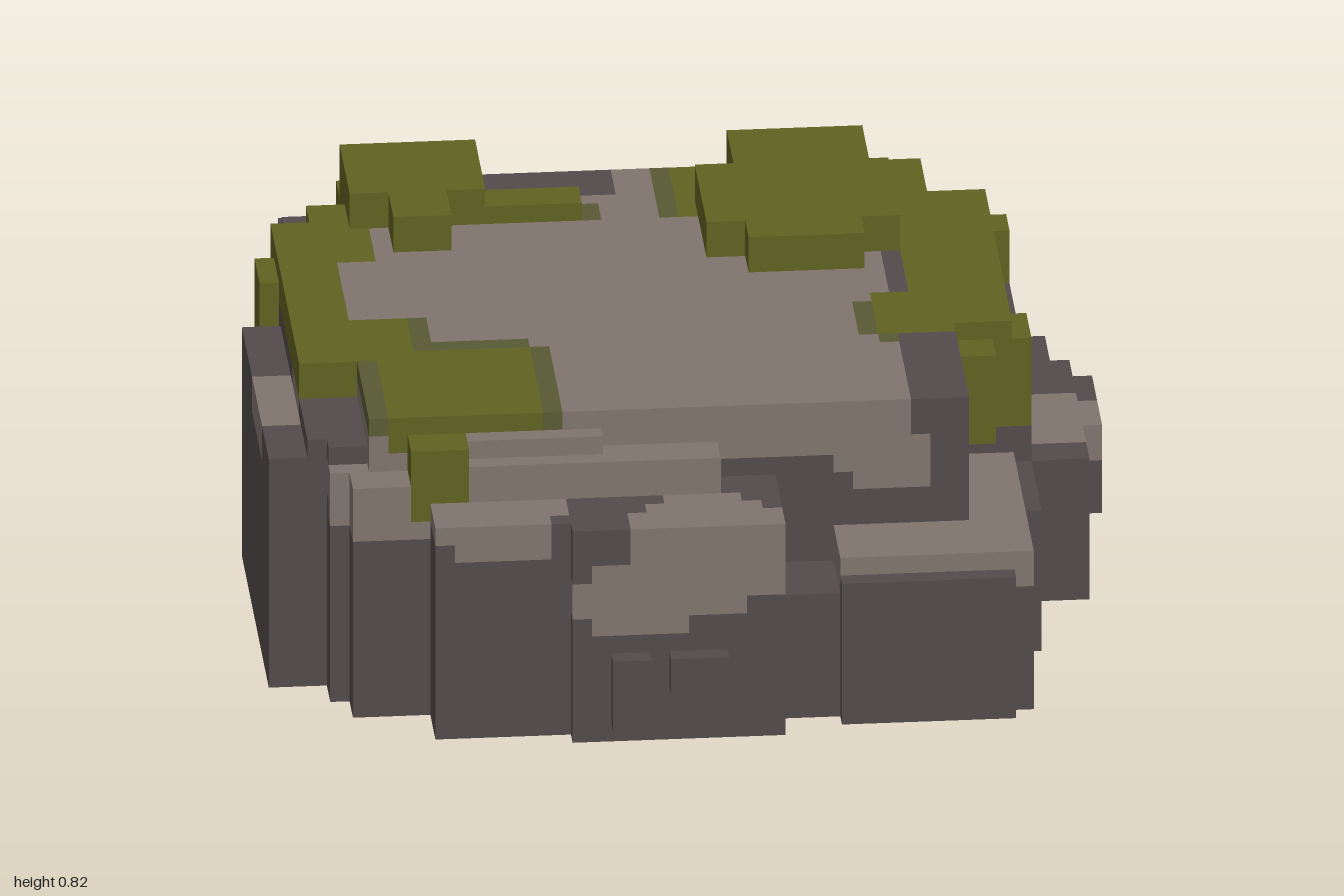
import * as THREE from 'three';

// Mossy boulder made of cubes: filled from boxes, painted, hollowed from below, then skinned.
const SIZE = [44, 18, 38];
const U = 2 / SIZE[0];
const ROCK = 1, STONE = 2, MOSS = 3, FRINGE = 4;

export function createModel() {
  const [NX, NY, NZ] = SIZE;
  const grid = new Uint8Array(NX * NY * NZ);
  const id = (x, y, z) => x + NX * (y + NY * z);
  const get = (x, y, z, from = grid) =>
    (x >= 0 && y >= 0 && z >= 0 && x < NX && y < NY && z < NZ ? from[id(x, y, z)] : 0);
  const eachCube = (visit) => {
    for (let z = 0; z < NZ; z++)
      for (let y = 0; y < NY; y++)
        for (let x = 0; x < NX; x++) if (grid[id(x, y, z)]) visit(x, y, z);
  };
  const cell = (v, half) => Math.round(v / U + half);

  // box: x from-to, z from-to, top, bottom
  function fill(c, x0, x1, z0, z1, top, bottom) {
    for (let z = cell(z0, NZ / 2); z < cell(z1, NZ / 2); z++)
      for (let y = cell(bottom, 0); y < cell(top, 0); y++)
        for (let x = cell(x0, NX / 2); x < cell(x1, NX / 2); x++) grid[id(x, y, z)] = c;
  }

  // rock mass and its ledges, standing on the ground unless a bottom is given
  [
    [-0.86, 0.45, -0.86, 0.55, 0.59],
    [-0.64, 0.3, -0.82, -0.77, 0.64],
    [-0.86, 0.64, -0.77, 0.5, 0.64],
    [-0.73, 0.64, -0.77, 0.55, 0.73],
    [-0.91, -0.82, -0.55, 0.45, 0.64],
    [-1, -0.82, -0.27, 0.45, 0.59],
    [-0.82, -0.32, 0.45, 0.64, 0.59],
    [-0.64, -0.32, 0.55, 0.77, 0.55],
    [-0.32, 0.18, 0.55, 0.82, 0.55],
    [0.18, 0.32, 0.55, 0.73, 0.32],
    [0.32, 0.73, 0.55, 0.77, 0.36],
    [0.63, 0.82, 0.13, 0.41, 0.36],
    [0.63, 0.77, -0.6, 0.13, 0.64],
    [0.77, 0.82, -0.55, 0.13, 0.55],
    [0.82, 0.91, -0.55, 0.13, 0.36],
    [0.91, 0.95, -0.41, 0.13, 0.36],
    [0.95, 1, -0.32, -0.05, 0.36, 0.14],
    [-0.23, -0.14, 0.82, 0.86, 0.23, 0.05],
    [-0.09, 0.04, 0.82, 0.86, 0.23, 0.14],
  ].forEach(([x0, x1, z0, z1, top, bottom = 0]) => fill(ROCK, x0, x1, z0, z1, top, bottom));

  // pale stone: plateau, front steps, right ledge
  [
    [-0.77, 0.5, -0.64, 0.55, 0.73, 0.59],
    [-0.09, 0.18, -0.77, -0.6, 0.73, 0.64],
    [-0.55, 0.04, 0.55, 0.64, 0.64, 0.55],
    [-0.55, -0.23, 0.55, 0.59, 0.68, 0.64],
    [0.32, 0.77, 0.55, 0.73, 0.41, 0.32],
    [0.64, 0.77, 0.18, 0.55, 0.41, 0.36],
  ].forEach((b) => fill(STONE, ...b));
  fill(ROCK, 0.64, 0.77, 0.18, 0.73, 0.32, 0);

  // weathered patches: centre and radius of a flattened ball
  [
    [0, 0.46, 0.8, 0.2],
    [-0.16, 0.37, 0.82, 0.15],
    [0.45, 0.58, 0.54, 0.12],
    [-0.73, 0.54, 0.58, 0.16],
    [-0.48, 0.54, 0.7, 0.15],
    [-0.96, 0.57, 0.14, 0.14],
    [0.88, 0.36, -0.08, 0.14],
    [0.64, 0.6, -0.66, 0.1],
  ].forEach(([px, py, pz, r]) => eachCube((x, y, z) => {
    const dx = (x + 0.5 - NX / 2) * U - px, dy = (y + 0.5) * U - py;
    const dz = (z + 0.5 - NZ / 2) * U - pz;
    if (Math.hypot(dx, dy * 1.5, dz) < r) grid[id(x, y, z)] = STONE;
  }));

  // moss cushions: x from-to, z from-to, top
  [
    [-0.91, -0.77, -0.55, 0.23, 0.73],
    [-0.82, -0.7, -0.64, -0.3, 0.73],
    [-0.77, -0.64, 0, 0.23, 0.73],
    [-0.73, -0.37, 0.2, 0.55, 0.73],
    [-0.73, -0.41, -0.77, -0.5, 0.82],
    [-0.64, -0.5, -0.5, -0.37, 0.82],
    [-0.41, -0.18, -0.6, -0.5, 0.77],
    [0.09, 0.54, -0.59, -0.27, 0.82],
    [0.18, 0.5, -0.77, -0.59, 0.82],
    [0.18, 0.45, -0.27, -0.18, 0.82],
    [0.05, 0.63, -0.77, -0.5, 0.73],
    [0.54, 0.77, -0.6, 0.13, 0.73],
    [0.45, 0.63, -0.05, 0.18, 0.73],
  ].forEach((b) => fill(MOSS, ...b, 0.64));

  // moss drips hanging down the sides: x, z, width, bottom
  [
    [-0.61, 0.59, 0.13, 0.5],
    [-0.57, 0.61, 0.09, 0.41],
    [-0.89, -0.4, 0.13, 0.46],
    [-0.84, -0.6, 0.09, 0.55],
    [-0.66, -0.8, 0.13, 0.55],
    [0.68, 0.16, 0.09, 0.46],
    [0.77, 0.07, 0.13, 0.46],
    [0.77, -0.5, 0.09, 0.55],
  ].forEach(([x, z, w, low]) => fill(MOSS, x - w / 2, x + w / 2, z - w / 2, z + w / 2, 0.68, low));

  // faded fringe where plateau stone meets moss, except along the open middle
  const level = cell(0.73, 0) - 1;
  eachCube((x, y, z) => {
    const middle = z > NZ * 0.2 && z < NZ * 0.48;
    if (y !== level || middle || get(x, y, z) !== STONE) return;
    const near = [[1, 0], [-1, 0], [0, 1], [0, -1]];
    if (near.some(([a, b]) => get(x + a, y, z + b) === MOSS)) grid[id(x, y, z)] = FRINGE;
  });

  // hollow the inside, leaving a wall two cubes thick and an open base
  const solid = grid.slice();
  const isDeep = (x, y, z) => {
    for (let a = -2; a <= 2; a++)
      for (let b = -2; b <= 2; b++)
        for (let c = 0; c <= 2; c++) if (!get(x + a, y + c, z + b, solid)) return false;
    return true;
  };
  eachCube((x, y, z) => { if (isDeep(x, y, z)) grid[id(x, y, z)] = 0; });

  // skin: one quad for every cube face that touches air
  function skin(colour) {
    const pos = [], nor = [], index = [];
    eachCube((...p) => {
      if (get(...p) !== colour) return;
      for (let axis = 0; axis < 3; axis++) for (const side of [1, -1]) {
        const n = [0, 0, 0];
        n[axis] = side;
        if (get(p[0] + n[0], p[1] + n[1], p[2] + n[2])) continue;
        const s = pos.length / 3;
        for (const [b, c] of [[0, 0], [1, 0], [1, 1], [0, 1]]) {
          const v = p.slice();
          v[axis] += side > 0 ? 1 : 0;
          v[(axis + 1) % 3] += side > 0 ? b : c;
          v[(axis + 2) % 3] += side > 0 ? c : b;
          pos.push((v[0] - NX / 2) * U, v[1] * U, (v[2] - NZ / 2) * U);
          nor.push(...n);
        }
        index.push(s, s + 1, s + 2, s, s + 2, s + 3);
      }
    });
    const g = new THREE.BufferGeometry();
    g.setAttribute('position', new THREE.Float32BufferAttribute(pos, 3));
    g.setAttribute('normal', new THREE.Float32BufferAttribute(nor, 3));
    g.setIndex(index);
    return g;
  }

  const group = new THREE.Group();
  group.name = 'mossyBoulder';
  [
    [ROCK, 'rockBody', 'darkRock', 0x524a4b],
    [STONE, 'stonePlateau', 'paleStone', 0x7f746d],
    [MOSS, 'mossCushions', 'moss', 0x5f6121],
    [FRINGE, 'mossFringe', 'fadedMoss', 0x585a34],
  ].forEach(([code, part, paintName, hex]) => {
    const material = new THREE.MeshStandardMaterial({ color: hex });
    material.name = paintName;
    const mesh = new THREE.Mesh(skin(code), material);
    mesh.name = part;
    group.add(mesh);
  });
  return group;
}
